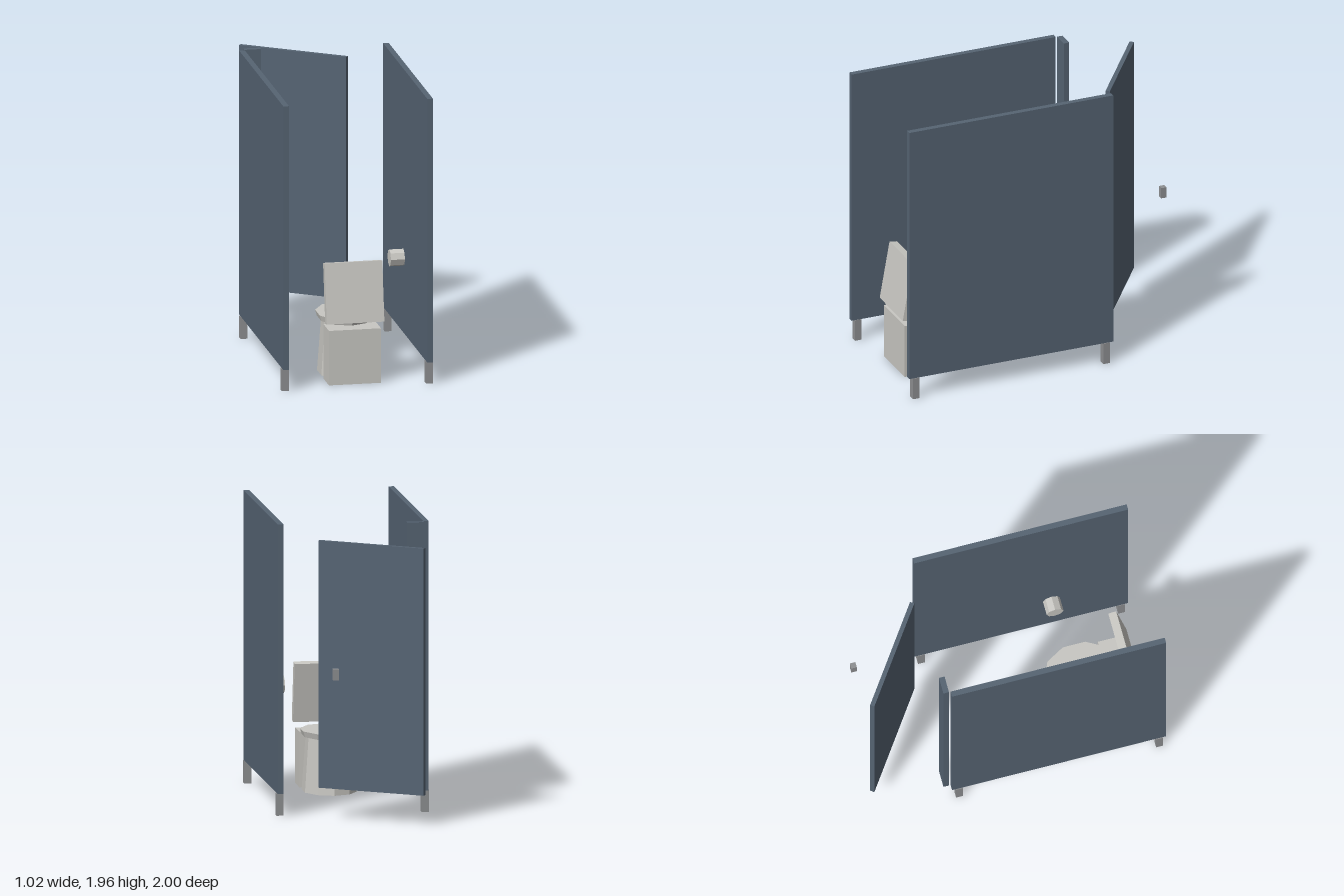
import * as THREE from 'three';

export function createModel() {
  const root = new THREE.Group();
  root.name = 'toiletStall';

  const mat = (name, color) => {
    const m = new THREE.MeshStandardMaterial({ color, flatShading: true });
    m.name = name;
    return m;
  };
  const slate = mat('slatePanel', 0x566473);
  const porcelain = mat('porcelain', 0xc8c7c2);
  const metal = mat('metal', 0x8e9092);

  const add = (name, geometry, material, x, y, z, parent = root) => {
    const mesh = new THREE.Mesh(geometry, material);
    mesh.name = name;
    mesh.position.set(x, y, z);
    parent.add(mesh);
    return mesh;
  };
  const box = (w, h, d) => new THREE.BoxGeometry(w, h, d);

  // Side partitions, each standing on two square feet
  for (const [side, s] of [['left', 1], ['right', -1]]) {
    add(side + 'Partition', box(0.038, 1.81, 1.47), slate, s * 0.487, 1.055, 0.265);
    for (const [end, z] of [['front', 0.953], ['back', -0.42]]) {
      add(side + end + 'Foot', box(0.047, 0.15, 0.047), metal, s * 0.488, 0.075, z);
    }
  }

  // Narrow post panel beside the doorway
  add('doorPost', box(0.115, 1.81, 0.038), slate, -0.412, 1.055, -0.5);

  // Door standing open, with its latch
  const door = add('door', box(0.775, 1.66, 0.03), slate, -0.078, 1.03, -0.766);
  door.rotation.y = THREE.MathUtils.degToRad(-35);
  add('doorLatch', box(0.038, 0.075, 0.038), metal, 0.194, 1.022, -0.96);

  // Toilet: rear block, flared bowl, seat and leaning lid
  const toilet = new THREE.Group();
  toilet.name = 'toilet';
  root.add(toilet);
  add('base', box(0.352, 0.374, 0.18), porcelain, 0, 0.187, 0.803, toilet);

  // Ten-sided ovals, longer in z than in x
  const oval = (top, bottom, height) =>
    new THREE.CylinderGeometry(top, bottom, height, 10).scale(0.778, 1, 1).rotateY(Math.PI);
  add('bowl', oval(0.2, 0.235, 0.374), porcelain, 0, 0.187, 0.557, toilet);
  add('seat', oval(0.25, 0.235, 0.04), porcelain, 0, 0.392, 0.553, toilet);

  const lid = add('lid', box(0.39, 0.407, 0.055), porcelain, 0, 0.62, 0.8525, toilet);
  lid.rotation.x = THREE.MathUtils.degToRad(-10);

  // Paper roll lying along x
  add('paperRoll', new THREE.CylinderGeometry(0.058, 0.058, 0.095, 8).rotateZ(Math.PI / 2),
    porcelain, 0.368, 0.736, 0.459);

  return root;
}
